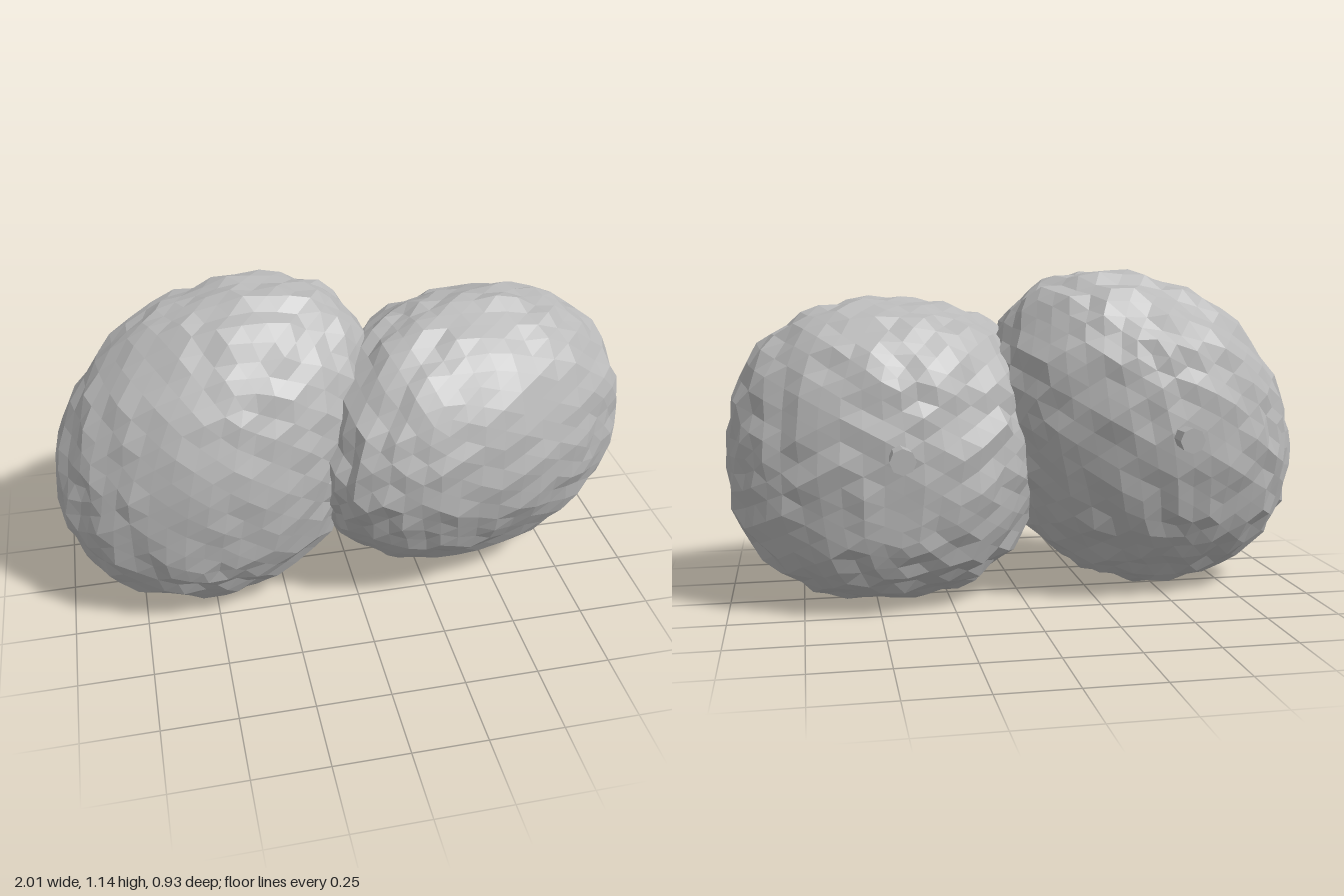
import * as THREE from 'three';

const stone = new THREE.MeshStandardMaterial({ color: 0xb8b8b8, flatShading: true });
stone.name = 'plain grey';

// Repeatable noise in -1..1 from a direction, the same at shared corners
function hash(d, seed) {
  const r = (n) => Math.round(n * 1000);
  let h = Math.imul(r(d.x), 73856093) ^ Math.imul(r(d.y), 19349663) ^ Math.imul(r(d.z), 83492791) ^ Math.imul(seed, 2654435);
  h = Math.imul(h ^ (h >>> 15), 2246822519);
  h = Math.imul(h ^ (h >>> 13), 3266489917);
  return (((h ^ (h >>> 16)) >>> 0) / 4294967295) * 2 - 1;
}

// Rough ball, fuller towards its four front corners by boxy; shape maps it to the final form
function lump(name, centre, boxy, seed, shape) {
  const geometry = new THREE.IcosahedronGeometry(1, 8);
  const p = geometry.attributes.position;
  const d = new THREE.Vector3();
  for (let i = 0; i < p.count; i++) {
    d.fromBufferAttribute(p, i).normalize();
    d.multiplyScalar(0.99 + boxy * d.x * d.x * d.y * d.y + 0.025 * hash(d, seed));
    p.setXYZ(i, ...shape(d.x, d.y, d.z));
  }
  geometry.computeVertexNormals();
  const mesh = new THREE.Mesh(geometry, stone);
  mesh.name = name;
  mesh.position.set(...centre);
  return mesh;
}

// Short eight-sided stalk pointing backwards, flared at its tip
function stalk(name, x, y) {
  const geometry = new THREE.CylinderGeometry(0.042, 0.032, 0.17, 8);
  geometry.rotateX(-Math.PI / 2);
  const mesh = new THREE.Mesh(geometry, stone);
  mesh.name = name;
  mesh.position.set(x, y, -0.385);
  return mesh;
}

export function createModel() {
  const group = new THREE.Group();
  group.name = 'twinLumps';
  group.add(
    // Taller lump, its crown leaning inwards and back
    lump('rightLump', [-0.455, 0.57, 0], 0.15, 3, (x, y, z) => [
      0.54 * x + 0.11 * y + 0.05 * y * y,
      0.57 * y,
      0.385 * z - 0.05 * y,
    ]),
    // Lower lump, its front bulging towards the middle
    lump('leftLump', [0.44, 0.528, 0.05], 0.18, 8, (x, y, z) => [
      0.56 * x - 0.1 * z - 0.12 * z * z,
      0.522 * y,
      0.41 * z + 0.025 * y - 0.07 * y * y,
    ]),
    stalk('rightStalk', -0.49, 0.595),
    stalk('leftStalk', 0.44, 0.555),
  );
  return group;
}
